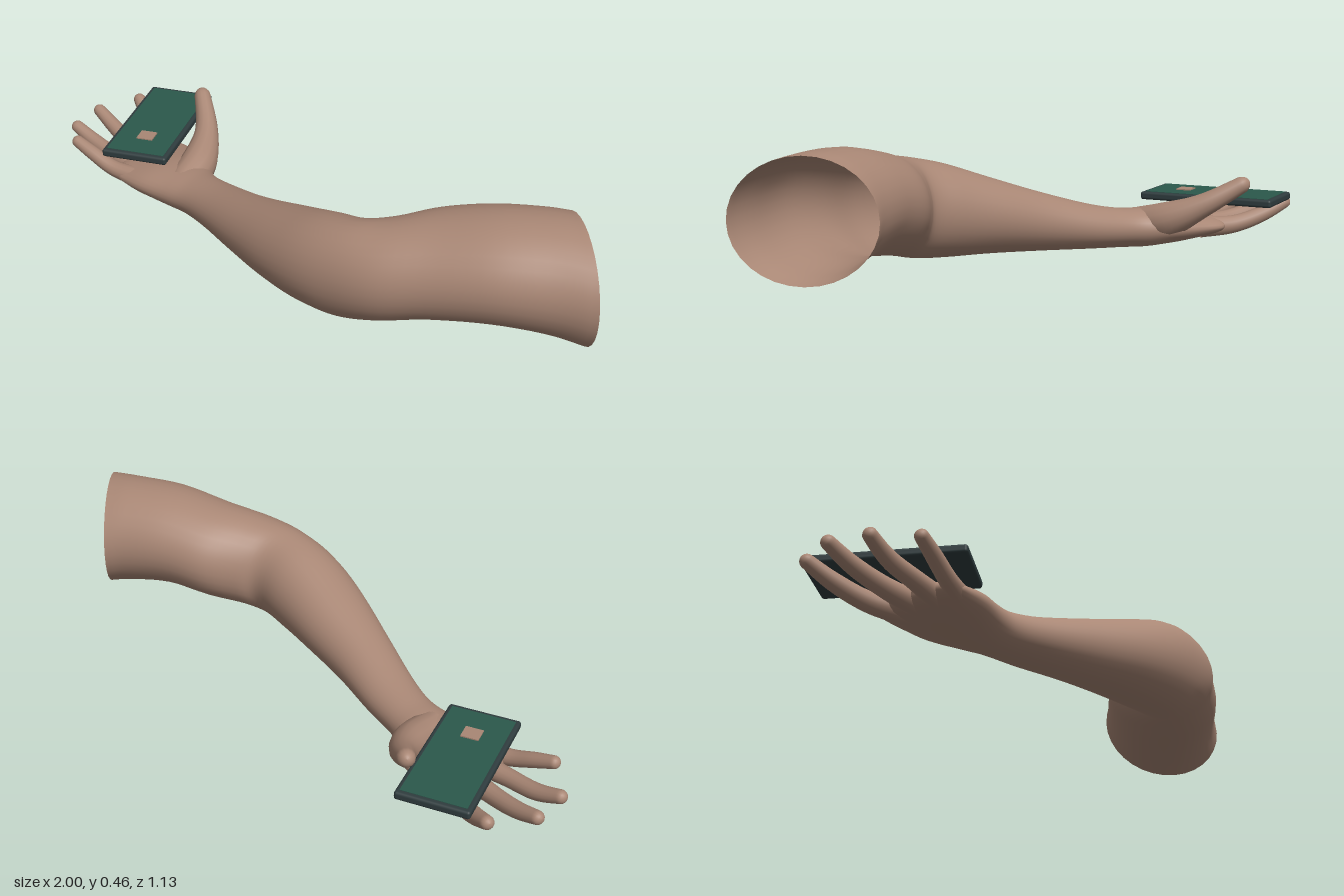
import * as THREE from 'three';
import { RoundedBoxGeometry } from 'three/addons/geometries/RoundedBoxGeometry.js';

const V = (x, y, z) => new THREE.Vector3(x, y, z);

// Smooth skin over rings; ringAt(u) gives the centre plus two half-axes of an ellipse
function loft(ringAt, steps, sides) {
  const pos = [], index = [];
  for (let i = 0; i <= steps; i++) {
    const { c, side, up } = ringAt(i / steps);
    for (let j = 0; j < sides; j++) {
      const t = (j / sides) * Math.PI * 2;
      const p = c.clone().addScaledVector(side, Math.cos(t)).addScaledVector(up, Math.sin(t));
      pos.push(p.x, p.y, p.z);
      if (i === steps) continue;
      const a = i * sides + j, b = i * sides + (j + 1) % sides;
      index.push(a, b, a + sides, b, b + sides, a + sides);
    }
  }
  const g = new THREE.BufferGeometry();
  g.setAttribute('position', new THREE.Float32BufferAttribute(pos, 3));
  g.setIndex(index);
  g.computeVertexNormals();
  return g;
}

const curve = pts => new THREE.CatmullRomCurve3(pts, false, 'catmullrom', 0.5);

// Arm sections: front edge x, z; back edge x, z; bottom y, top y
const SECTIONS = [
  [1.0, .55, .83, .14, .08, .46],
  [.88, .545, .76, .155, .10, .465],
  [.70, .56, .62, .172, .117, .457],
  [.50, .555, .48, .19, .095, .425],
  [.33, .557, .37, .24, .068, .395],
  [.18, .52, .30, .265, .042, .375],
  [.05, .462, .20, .215, .032, .345],
  [-.08, .368, .06, .135, .028, .29],
  [-.23, .225, -.10, .045, .02, .225],
  [-.37, .088, -.25, -.06, .012, .17],
  [-.46, .015, -.37, -.14, .006, .145],
  [-.54, -.02, -.42, -.20, .002, .14],
  [-.64, -.05, -.46, -.28, .01, .135],
  [-.71, -.085, -.54, -.34, .02, .12],
  [-.755, -.12, -.62, -.38, .033, .105],
  [-.76, -.18, -.68, -.34, .05, .09],
  [-.735, -.25, -.735, -.25, .07, .07],
];

function armGeometry() {
  const front = curve(SECTIONS.map(s => V(s[0], 0, s[1])));
  const back = curve(SECTIONS.map(s => V(s[2], 0, s[3])));
  const height = curve(SECTIONS.map(s => V(s[4], s[5], 0)));
  return loft(u => {
    const f = front.getPoint(u), b = back.getPoint(u), h = height.getPoint(u);
    const c = f.clone().add(b).multiplyScalar(0.5);
    const side = f.sub(c);
    c.y = (h.x + h.y) / 2;
    return { c, side, up: V(0, (h.y - h.x) / 2, 0) };
  }, 80, 32);
}

// Finger: tapered tube with a rounded tip
function fingerGeometry(points, radii) {
  const path = curve(points.map(p => V(...p)));
  const radius = curve(radii.map(r => V(r, 0, 0)));
  const length = path.getLength();
  return loft(s => {
    const u = 1 - (1 - s) ** 1.8; // rings gather at the tip
    const left = (1 - u) * length, tip = radii[radii.length - 1];
    const k = left < tip ? Math.sqrt(Math.max(0, 1 - (1 - left / tip) ** 2)) : 1;
    const r = radius.getPoint(u).x * k;
    const d = path.getTangent(u);
    const side = V(0, 1, 0).cross(d).normalize();
    const up = d.clone().cross(side);
    return { c: path.getPoint(u), side: side.multiplyScalar(r), up: up.multiplyScalar(r) };
  }, 28, 14);
}

const FINGERS = {
  littleFinger: [[[-.66, .07, -.12], [-.77, .08, -.14], [-.86, .115, -.165], [-.94, .148, -.19]], [.036, .028, .025, .02]],
  ringFinger: [[[-.67, .065, -.18], [-.79, .072, -.225], [-.90, .09, -.28], [-1.0, .13, -.32]], [.038, .03, .027, .021]],
  middleFinger: [[[-.66, .065, -.25], [-.77, .07, -.32], [-.87, .095, -.39], [-.965, .135, -.45]], [.038, .031, .027, .021]],
  indexFinger: [[[-.61, .065, -.29], [-.69, .068, -.385], [-.765, .10, -.47], [-.84, .15, -.55]], [.04, .032, .028, .021]],
  thumb: [[[-.50, .08, -.10], [-.48, .105, -.22], [-.495, .165, -.35], [-.56, .25, -.49]], [.06, .064, .041, .027]],
};

export function createModel() {
  const model = new THREE.Group();
  model.name = 'armHoldingDevice';

  const skin = new THREE.MeshStandardMaterial({ color: 0xa98775, side: THREE.DoubleSide });
  skin.name = 'skin';
  const casing = new THREE.MeshStandardMaterial({ color: 0x2f3c3e });
  casing.name = 'darkCasing';
  const glass = new THREE.MeshStandardMaterial({ color: 0x2b594c });
  glass.name = 'greenScreen';

  const add = (parent, name, geometry, material, x = 0, y = 0, z = 0) => {
    const mesh = new THREE.Mesh(geometry, material);
    mesh.name = name;
    mesh.position.set(x, y, z);
    parent.add(mesh);
  };

  // Open sleeve of an arm running into the palm
  add(model, 'armAndPalm', armGeometry(), skin);

  // Fingers and thumb
  const fingers = new THREE.Group();
  fingers.name = 'fingers';
  for (const [name, [points, radii]] of Object.entries(FINGERS)) {
    add(fingers, name, fingerGeometry(points, radii), skin);
  }
  model.add(fingers);

  // Flat device lying over the palm
  const device = new THREE.Group();
  device.name = 'device';
  device.position.set(-.668, .172, -.327);
  add(device, 'casing', new RoundedBoxGeometry(.235, .028, .488, 3, .009), casing);
  add(device, 'screen', new THREE.BoxGeometry(.208, .004, .456), glass, 0, .0135, 0);
  add(device, 'screenTile', new THREE.BoxGeometry(.058, .006, .054), skin, 0, .0165, .114);
  model.add(device);

  return model;
}
